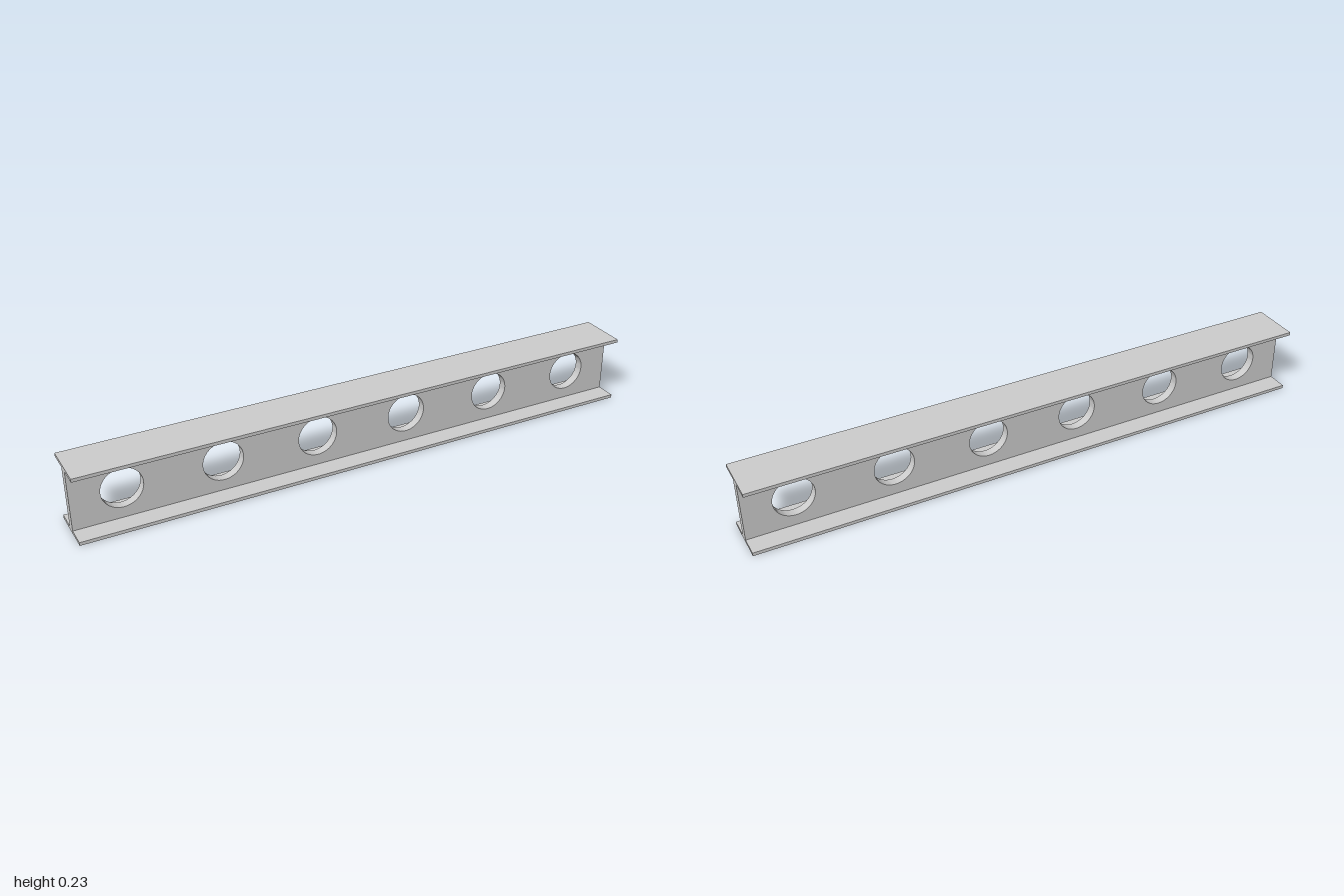
import * as THREE from 'three';
import { toCreasedNormals } from 'three/addons/utils/BufferGeometryUtils.js';

const LENGTH = 2, HEIGHT = 0.235, WIDTH = 0.17;
const FLANGE = 0.0115, WEB = 0.031;
const HOLES = 6, HOLE_RADIUS = 0.069;

export function createModel() {
  const group = new THREE.Group();
  group.name = 'perforatedBeam';
  const material = new THREE.MeshStandardMaterial({ color: 0xcccccc });

  const add = (name, geometry, y) => {
    const mesh = new THREE.Mesh(geometry, material);
    mesh.name = name;
    mesh.position.y = y;
    group.add(mesh);
  };

  // Flat flanges along the bottom and top
  const flange = new THREE.BoxGeometry(LENGTH, FLANGE, WIDTH);
  add('bottomFlange', flange, FLANGE / 2);
  add('topFlange', flange, HEIGHT - FLANGE / 2);

  // Upright web between the flanges, pierced by evenly spaced round holes
  const x = LENGTH / 2, y = HEIGHT / 2 - FLANGE;
  const shape = new THREE.Shape([
    new THREE.Vector2(-x, -y), new THREE.Vector2(x, -y),
    new THREE.Vector2(x, y), new THREE.Vector2(-x, y),
  ]);
  for (let i = 0; i < HOLES; i++) {
    const cx = -x + (i + 0.5) * LENGTH / HOLES;
    shape.holes.push(new THREE.Path().absarc(cx, 0, HOLE_RADIUS, 0, Math.PI * 2, true));
  }
  const web = new THREE.ExtrudeGeometry(shape, { depth: WEB, bevelEnabled: false, curveSegments: 32 });
  web.translate(0, 0, -WEB / 2);
  add('web', toCreasedNormals(web, Math.PI / 6), HEIGHT / 2);

  return group;
}
